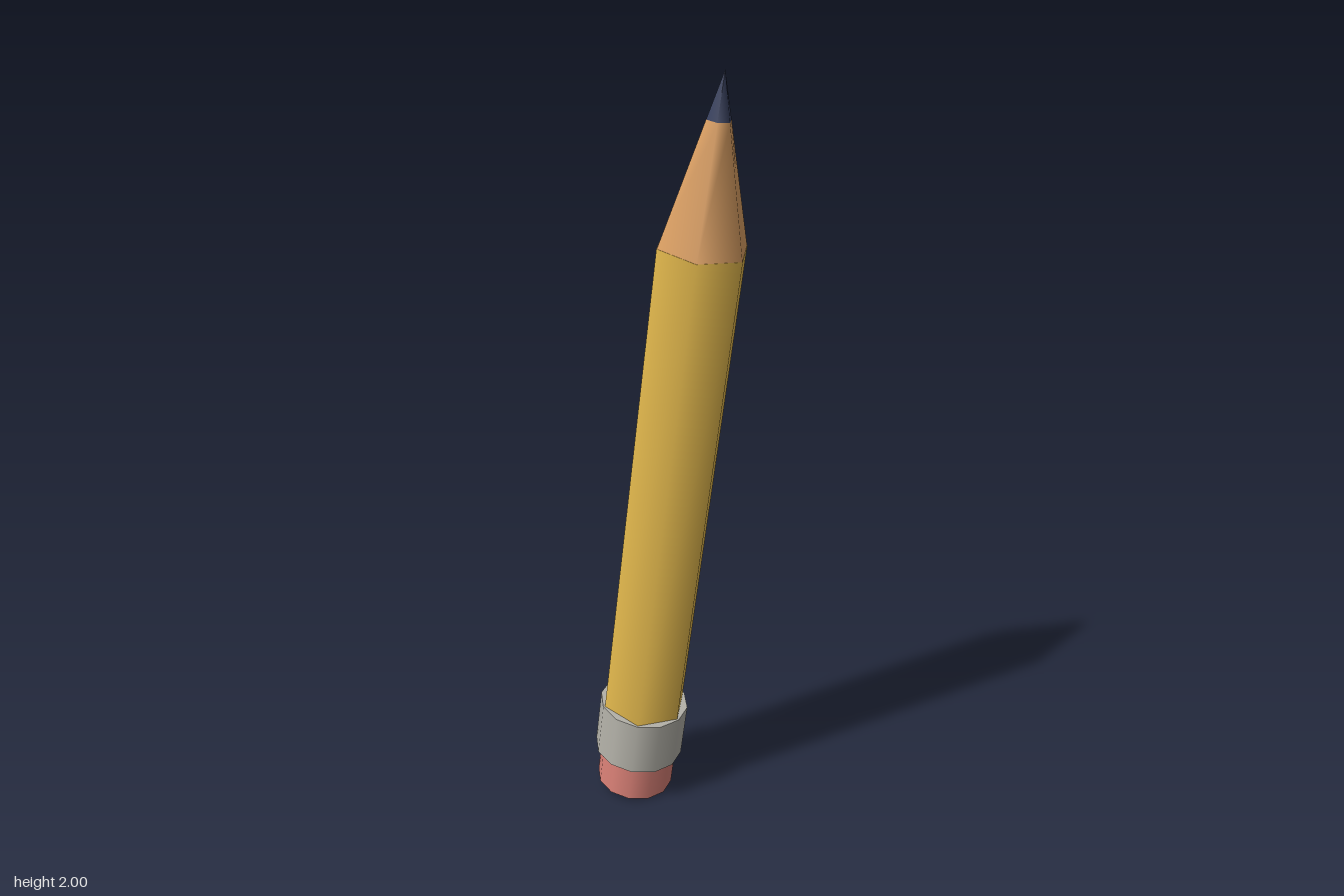
import * as THREE from 'three';

const material = (name, color) => {
  const m = new THREE.MeshStandardMaterial({ color });
  m.name = name;
  return m;
};

export function createModel() {
  const yellow = material('yellowPaint', 0xe6bb4e);
  const wood = material('bareWood', 0xdca063);
  const lead = material('darkLead', 0x363f5e);
  const metal = material('greyMetal', 0xb5b3aa);
  const rubber = material('pinkRubber', 0xdc8278);

  const pencil = new THREE.Group();
  pencil.name = 'pencil';

  // Each part is a smooth-sided section between two heights on the pencil axis
  const section = (name, mat, from, to, rFrom, rTo, sides) => {
    const geometry = new THREE.CylinderGeometry(rTo, rFrom, to - from, sides);
    geometry.translate(0, (from + to) / 2, 0);
    const mesh = new THREE.Mesh(geometry, mat);
    mesh.name = name;
    pencil.add(mesh);
  };

  section('eraser', rubber, 0, 0.2, 0.104, 0.104, 12);
  section('ferrule', metal, 0.11, 0.268, 0.12, 0.12, 12);
  section('body', yellow, 0.2, 1.595, 0.115, 0.115, 6);
  section('sharpenedWood', wood, 1.595, 1.895, 0.114, 0.031, 6);
  section('leadTip', lead, 1.895, 2.005, 0.031, 0, 6);

  // Turn the hexagon about its axis, then lean the whole pencil
  const axis = new THREE.Vector3(0.1385, 0.99, 0.025).normalize();
  const up = new THREE.Vector3(0, 1, 0);
  pencil.quaternion
    .setFromUnitVectors(up, axis)
    .multiply(new THREE.Quaternion().setFromAxisAngle(up, THREE.MathUtils.degToRad(21.4)));
  pencil.position.set(-0.117, 0.0146, -0.013);

  const model = new THREE.Group();
  model.name = 'model';
  model.add(pencil);
  return model;
}
